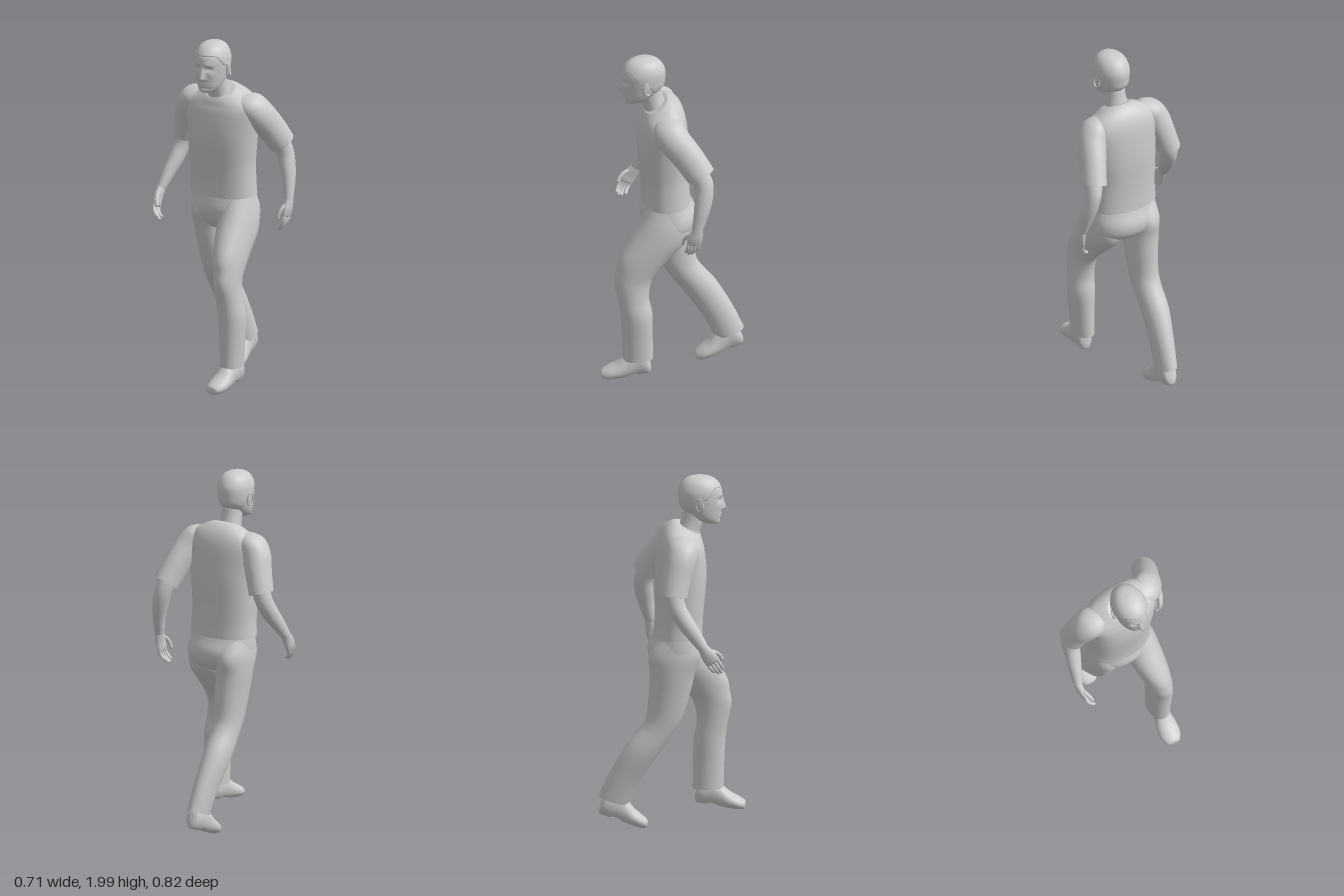
import * as THREE from 'three';

const material = new THREE.MeshStandardMaterial({ color: 0xcccccc, side: THREE.DoubleSide });

function part(name, geometry, parent) {
  const mesh = new THREE.Mesh(geometry, material);
  mesh.name = name;
  parent.add(mesh);
  return mesh;
}

// Smooth skin through elliptical rings listed top to bottom: [x, y, z, rx, rz, tiltX, tiltZ]
function loft(rings, { n = 32, steps = 5, power = 1, rule = null } = {}) {
  const get = (i, k) => rings[Math.min(Math.max(i, 0), rings.length - 1)][k] || 0;
  const pos = [], index = [], v = new THREE.Vector3(), e = new THREE.Euler();
  const bend = (c) => Math.sign(c) * Math.abs(c) ** power;
  const rows = (rings.length - 1) * steps;
  for (let r = 0; r <= rows; r++) {
    const i = Math.min(Math.floor(r / steps), rings.length - 2), t = r / steps - i;
    const [x, y, z, rx, rz, tx, tz] = [0, 1, 2, 3, 4, 5, 6].map((k) => {
      const a = get(i - 1, k), b = get(i, k), c = get(i + 1, k), d = get(i + 2, k);
      return b + 0.5 * t * (c - a + t * (2 * a - 5 * b + 4 * c - d + t * (3 * (b - c) + d - a)));
    });
    e.set(tx, 0, tz);
    for (let j = 0; j < n; j++) {
      const a = (j / n) * Math.PI * 2;
      v.set(rx * bend(Math.cos(a)), 0, rz * bend(Math.sin(a))).applyEuler(e);
      v.x += x; v.y += y; v.z += z;
      if (rule) rule(v, x, z);
      pos.push(v.x, v.y, v.z);
      if (r < rows) {
        const p = r * n + j, q = r * n + (j + 1) % n;
        index.push(p, q, p + n, q, q + n, p + n);
      }
    }
  }
  // End caps with their own corners, so hems stay crisp
  for (const [row, ring, flip] of [[0, rings[0], false], [rows, rings.at(-1), true]]) {
    const c = pos.length / 3;
    pos.push(ring[0], ring[1], ring[2]);
    for (let j = 0; j < n; j++) {
      const s = (row * n + j) * 3;
      pos.push(pos[s], pos[s + 1], pos[s + 2]);
      const p = c + 1 + j, q = c + 1 + (j + 1) % n;
      index.push(c, flip ? p : q, flip ? q : p);
    }
  }
  const g = new THREE.BufferGeometry();
  g.setAttribute('position', new THREE.Float32BufferAttribute(pos, 3));
  g.setIndex(index);
  g.computeVertexNormals();
  return g;
}

const bump = (d, w) => Math.exp(-((d / w) ** 2));
const HX = -0.005;

// Facial relief, pushed along z on the front of the head
function faceRule(v) {
  if (v.z < 0.2) return;
  const dx = v.x - HX, y = v.y, side = Math.abs(dx);
  const slope = THREE.MathUtils.clamp((1.885 - y) / 0.075, 0, 1) * THREE.MathUtils.smoothstep(y, 1.79, 1.808);
  v.z += 0.026 * slope * bump(dx, 0.009 + 0.007 * slope)
    + 0.005 * bump(y - 1.888, 0.011) * bump(side - 0.03, 0.03)
    - 0.011 * bump(y - 1.862, 0.013) * bump(side - 0.034, 0.019)
    + 0.004 * bump(y - 1.83, 0.02) * bump(side - 0.05, 0.02)
    + 0.007 * bump(y - 1.768, 0.012) * bump(dx, 0.025)
    - 0.006 * bump(y - 1.769, 0.0035) * bump(dx, 0.025)
    - 0.005 * bump(y - 1.752, 0.006) * bump(dx, 0.025)
    + 0.005 * bump(y - 1.735, 0.012) * bump(dx, 0.025);
}

// Hair stands proud above the hairline and sinks into the skull below it
function hairRule(v, cx, cz) {
  const line = 1.785 + 0.085 * THREE.MathUtils.smoothstep(v.z, 0.09, 0.17)
    + 0.06 * THREE.MathUtils.smoothstep(v.z, 0.19, 0.25);
  const off = -0.014 + 0.018 * THREE.MathUtils.smoothstep(v.y, line - 0.004, line + 0.005);
  const dx = v.x - cx, dz = v.z - cz, len = Math.hypot(dx, dz) || 1;
  v.x += (dx / len) * off;
  v.z += (dz / len) * off;
}

function addHead(parent) {
  const head = new THREE.Group();
  head.name = 'head';
  parent.add(head);
  const rings = [
    [HX, 1.996, 0.16, 0.004, 0.004], [HX, 1.987, 0.16, 0.042, 0.055], [HX, 1.963, 0.162, 0.071, 0.091],
    [HX, 1.92, 0.164, 0.089, 0.116], [HX, 1.87, 0.165, 0.091, 0.118], [HX, 1.83, 0.167, 0.086, 0.114],
    [HX, 1.79, 0.177, 0.078, 0.1, 0.1], [HX, 1.757, 0.19, 0.066, 0.08, 0.15],
    [HX, 1.735, 0.204, 0.046, 0.057, 0.2], [HX, 1.725, 0.208, 0.02, 0.02, 0.2]];
  part('face', loft(rings, { n: 112, steps: 9, rule: faceRule }), head);
  part('hair', loft(rings.slice(0, 8), { n: 96, steps: 9, rule: hairRule }), head);
  part('neck', loft([[HX, 1.8, 0.13, 0.055, 0.06], [HX, 1.75, 0.12, 0.056, 0.06, 0.2],
    [HX, 1.7, 0.105, 0.062, 0.06, 0.35], [HX, 1.66, 0.095, 0.078, 0.065, 0.4]]), head);
  for (const s of [1, -1]) {
    const eye = part('eye', new THREE.SphereGeometry(0.013, 16, 12), head);
    eye.position.set(HX + s * 0.034, 1.862, 0.248);
    eye.scale.set(1.1, 0.6, 1);
    const ear = part('ear', new THREE.SphereGeometry(1, 16, 12), head);
    ear.position.set(HX + s * 0.091, 1.845, 0.158);
    ear.scale.set(0.009, 0.038, 0.022);
    ear.rotation.set(-0.15, s * 0.3, 0);
    const rim = part('earRim', new THREE.TorusGeometry(0.024, 0.005, 8, 20), head);
    rim.position.set(HX + s * 0.097, 1.848, 0.154);
    rim.rotation.set(-0.15, Math.PI / 2 + s * 0.3, 0, 'YXZ');
    rim.scale.set(0.8, 1.45, 1);
  }
}

// Hand hanging from the wrist: palm faces inward, thumb forward
function addHand(name, parent, s, position, pitch) {
  const hand = new THREE.Group();
  hand.name = name;
  part('palm', loft([[0, 0.02, 0, 0.023, 0.027], [0, -0.02, 0, 0.022, 0.034], [0, -0.06, 0.002, 0.019, 0.041],
    [-s * 0.004, -0.095, 0.002, 0.015, 0.039], [-s * 0.006, -0.104, 0.002, 0.007, 0.03]], { n: 20 }), hand);
  const digit = (label, points, r) => {
    const curve = new THREE.CatmullRomCurve3(points.map(([x, y, z]) => new THREE.Vector3(s * x, y, z)));
    part(label, new THREE.TubeGeometry(curve, 10, r, 10), hand);
    part(label + 'Tip', new THREE.SphereGeometry(r, 10, 8), hand).position.copy(curve.getPoint(1));
  };
  for (let i = 0; i < 4; i++) {
    const z = 0.03 - i * 0.019, l = [0.9, 1, 0.95, 0.75][i];
    digit('finger', [[-0.003, -0.085, z], [-0.007, -0.085 - 0.045 * l, z], [-0.022, -0.085 - 0.075 * l, z * 0.9],
      [-0.037, -0.085 - 0.09 * l, z * 0.85]], 0.0095);
  }
  digit('thumb', [[-0.003, -0.03, 0.022], [-0.015, -0.06, 0.046], [-0.025, -0.09, 0.054], [-0.03, -0.11, 0.052]], 0.0105);
  hand.position.set(...position);
  hand.rotation.x = pitch;
  parent.add(hand);
}

// Shoe with a flat sole, raised arch and block heel; toe points to +z
function addShoe(name, parent, position, pitch, yaw) {
  const T = Math.PI / 2;
  const shoe = new THREE.Group();
  shoe.name = name;
  part('shoeBody', loft([[0, 0.026, 0.147, 0.018, 0.012, T], [0, 0.029, 0.138, 0.038, 0.025, T],
    [0, 0.034, 0.1, 0.056, 0.036, T], [0, 0.042, 0.05, 0.058, 0.047, T], [0, 0.056, 0, 0.05, 0.064, T],
    [0, 0.068, -0.05, 0.045, 0.078, T], [0, 0.066, -0.1, 0.044, 0.074, T], [0, 0.06, -0.125, 0.034, 0.058, T],
    [0, 0.06, -0.134, 0.012, 0.03, T]], {
    rule: (v) => {
      const arch = 0.015 * THREE.MathUtils.smoothstep(v.z, -0.062, -0.052) * (1 - THREE.MathUtils.smoothstep(v.z, -0.03, 0.03));
      v.y = Math.max(v.y, arch);
    },
  }), shoe);
  part('ankle', loft([[0, 0.2, -0.06, 0.038, 0.048], [0, 0.13, -0.055, 0.042, 0.055], [0, 0.08, -0.05, 0.04, 0.06]]), shoe);
  shoe.position.set(...position);
  shoe.rotation.set(pitch, yaw, 0, 'YXZ');
  parent.add(shoe);
}

export function createModel() {
  const model = new THREE.Group();
  model.name = 'walkingMan';
  addHead(model);

  // Shirt
  part('shirt', loft([[0, 1.702, 0.096, 0.088, 0.073, 0.5], [0, 1.688, 0.085, 0.125, 0.093, 0.45],
    [0, 1.655, 0.068, 0.185, 0.112, 0.3], [0, 1.6, 0.06, 0.215, 0.127, 0.15], [0, 1.5, 0.058, 0.205, 0.138, 0.05],
    [-0.003, 1.4, 0.055, 0.197, 0.141], [-0.006, 1.28, 0.05, 0.189, 0.135], [-0.003, 1.18, 0.045, 0.187, 0.132],
    [-0.003, 1.1, 0.042, 0.191, 0.134]], { n: 48, power: 0.88 }), model);
  part('leftSleeve', loft([[0.12, 1.66, 0.07, 0.03, 0.05, 0.3, 0.9], [0.165, 1.63, 0.055, 0.065, 0.085, 0.4, 0.6],
    [0.203, 1.57, 0.02, 0.077, 0.09, 0.5, 0.45], [0.24, 1.48, -0.05, 0.072, 0.085, 0.55, 0.33],
    [0.272, 1.38, -0.115, 0.07, 0.08, 0.5, 0.3]]), model);
  part('rightSleeve', loft([[-0.12, 1.665, 0.07, 0.03, 0.05, 0.2, -0.9], [-0.17, 1.635, 0.06, 0.068, 0.085, 0.2, -0.6],
    [-0.212, 1.57, 0.045, 0.078, 0.085, 0.2, -0.4], [-0.242, 1.48, 0.02, 0.071, 0.08, 0.2, -0.3],
    [-0.272, 1.375, 0, 0.066, 0.075, 0.1, -0.3]]), model);

  // Arms and hands
  part('leftArm', loft([[0.26, 1.42, -0.09, 0.05, 0.055, 0.5, 0.3], [0.284, 1.33, -0.128, 0.046, 0.053, 0.3, 0.2],
    [0.303, 1.25, -0.125, 0.042, 0.051, 0, 0.15], [0.32, 1.17, -0.11, 0.034, 0.042, -0.2, 0.1],
    [0.333, 1.07, -0.085, 0.024, 0.03, -0.2, 0.05]]), model);
  part('rightArm', loft([[-0.262, 1.42, 0, 0.05, 0.055, 0.1, -0.3], [-0.282, 1.33, 0.012, 0.046, 0.052, -0.25, -0.2],
    [-0.298, 1.25, 0.055, 0.043, 0.048, -0.5, -0.15], [-0.315, 1.18, 0.105, 0.035, 0.041, -0.6, -0.1],
    [-0.332, 1.1, 0.16, 0.025, 0.029, -0.6, -0.05]]), model);
  addHand('leftHand', model, 1, [0.334, 1.075, -0.087], -0.2);
  addHand('rightHand', model, -1, [-0.333, 1.1, 0.16], -0.55);

  // Trousers: seat, forward leg and trailing leg
  part('trouserSeat', loft([[-0.003, 1.13, 0.042, 0.178, 0.122], [-0.001, 1.08, 0.038, 0.187, 0.138],
    [0.003, 1.02, 0.03, 0.193, 0.154], [0.006, 0.96, 0.024, 0.185, 0.14], [0.008, 0.915, 0.024, 0.13, 0.1],
    [0.008, 0.9, 0.024, 0.06, 0.06]], { n: 40, power: 0.95 }), model);
  part('leftTrouserLeg', loft([[0.1, 1.1, 0.05, 0.08, 0.1], [0.106, 1, 0.062, 0.098, 0.14], [0.111, 0.9, 0.1, 0.101, 0.165],
    [0.122, 0.8, 0.172, 0.088, 0.148], [0.13, 0.72, 0.218, 0.077, 0.118], [0.135, 0.65, 0.243, 0.07, 0.102],
    [0.143, 0.55, 0.24, 0.07, 0.086], [0.151, 0.45, 0.225, 0.073, 0.088], [0.15, 0.3, 0.22, 0.065, 0.085],
    [0.148, 0.17, 0.217, 0.06, 0.085]]), model);
  part('rightTrouserLeg', loft([[-0.1, 1.1, 0.04, 0.08, 0.1], [-0.1, 1, 0.02, 0.093, 0.145], [-0.096, 0.9, 0.005, 0.093, 0.125],
    [-0.091, 0.8, -0.008, 0.088, 0.116], [-0.088, 0.66, -0.037, 0.079, 0.099, 0.2], [-0.087, 0.57, -0.08, 0.075, 0.087, 0.4],
    [-0.088, 0.45, -0.168, 0.073, 0.09, 0.4], [-0.076, 0.3, -0.259, 0.062, 0.085, 0.4],
    [-0.065, 0.165, -0.32, 0.055, 0.085, 0.32]]), model);

  // Shoes
  addShoe('leftShoe', model, [0.147, 0.067, 0.272], 0.16, -0.12);
  addShoe('rightShoe', model, [-0.062, 0.052, -0.28], 0.36, 0);
  return model;
}
